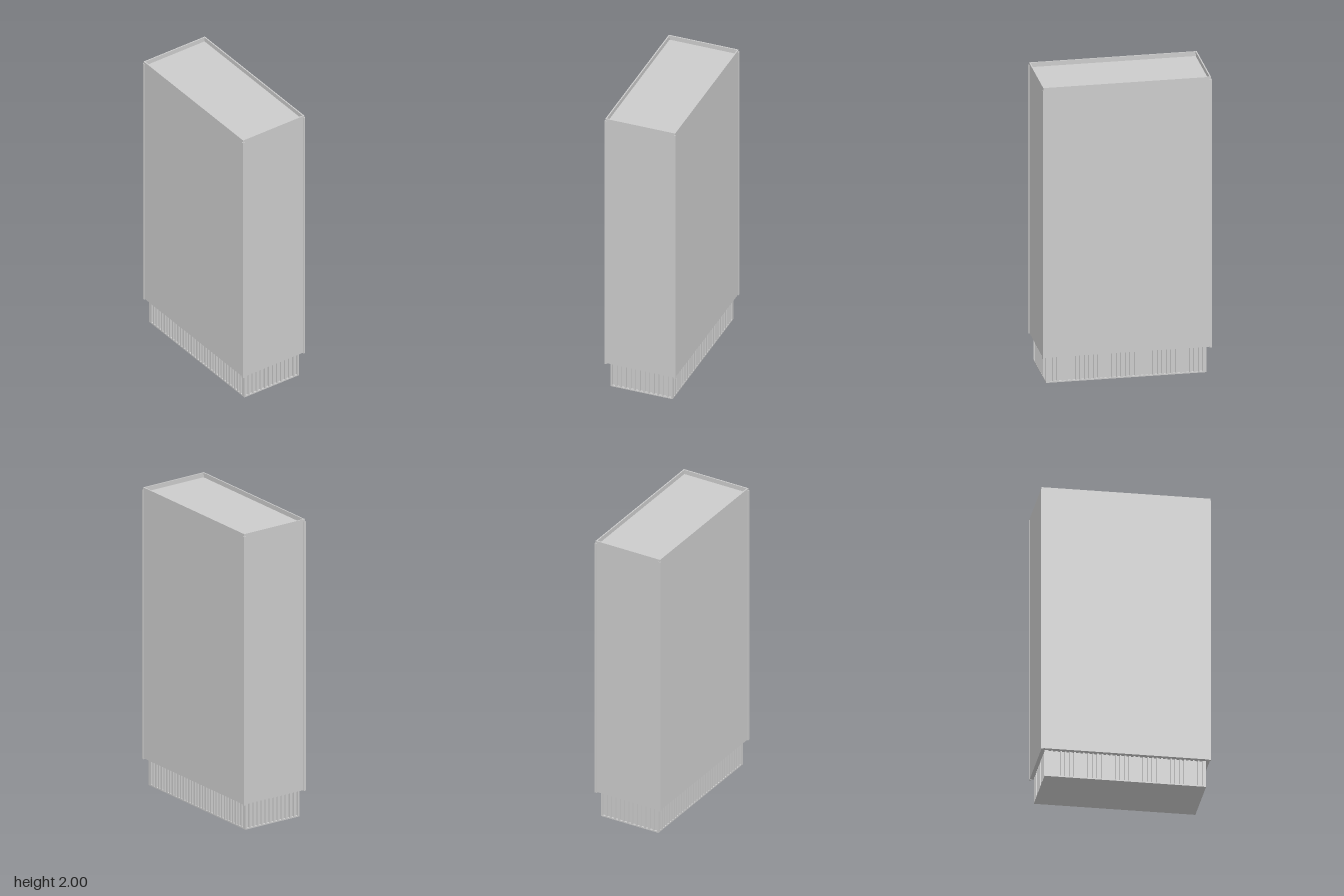
import * as THREE from 'three';

export function createModel() {
  const model = new THREE.Group();
  model.name = 'tower';
  const tower = new THREE.Group();
  tower.name = 'turnedTower';
  tower.rotation.y = 0.0135; // the whole block stands slightly turned
  model.add(tower);
  const mat = new THREE.MeshStandardMaterial({ color: 0xcccccc, flatShading: true });

  function box(name, w, y0, y1, d, x = 0, z = 0) {
    const mesh = new THREE.Mesh(new THREE.BoxGeometry(w, y1 - y0, d), mat);
    mesh.name = name;
    mesh.position.set(x, (y0 + y1) / 2, z);
    tower.add(mesh);
  }

  const W = 0.476, D = 1.08; // main block
  const bottom = 0.175, roof = 1.97, top = 2;
  const wall = 0.008;

  // main block with a sunken flat roof
  box('mainBlock', W, bottom + 0.005, roof, D);

  for (const s of [-1, 1]) {
    // parapet around the roof
    box('sideParapet', wall, roof, top, D, s * (W - wall) / 2, 0);
    box('endParapet', W - 2 * wall, roof, top, wall, 0, s * (D - wall) / 2);
    // corner trims
    for (const t of [-1, 1]) {
      box('cornerTrim', 0.014, bottom, 1.985, 0.014, s * (W / 2 - 0.003), t * (D / 2 - 0.003));
    }
  }

  // recessed base with ribs all round
  const bw = 0.4, bd = 1.01, rib = 0.012;
  box('baseCore', bw, 0.004, bottom + 0.005, bd);
  box('basePlate', bw + 2 * rib, 0, 0.008, bd + 2 * rib);
  const nx = 14, nz = 35;
  for (const s of [-1, 1]) {
    for (let i = 0; i < nx; i++) {
      const x = (i / (nx - 1) - 0.5) * (bw + rib);
      box('endRib', rib, 0.008, bottom + 0.005, rib, x, s * (bd + rib) / 2);
    }
    for (let i = 0; i < nz; i++) {
      const z = (i / (nz - 1) - 0.5) * (bd - rib);
      box('sideRib', rib, 0.008, bottom + 0.005, rib, s * (bw + rib) / 2, z);
    }
  }

  return model;
}
